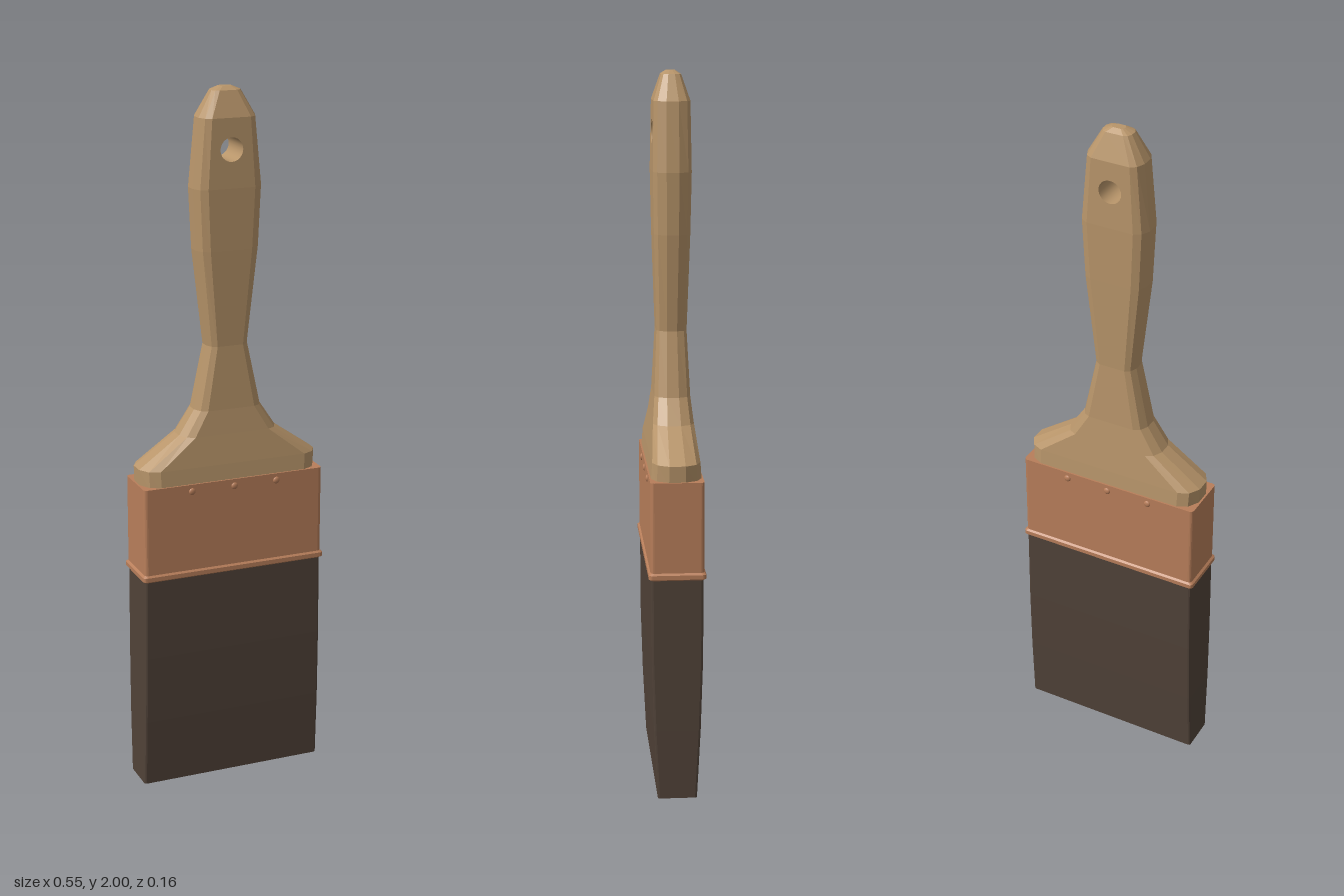
import * as THREE from 'three';

const material = (name, color) => Object.assign(new THREE.MeshStandardMaterial({ color }), { name });

// Skin closed rings of [x, y, z] points, listed bottom to top; skip(segment, side) leaves an opening
function loft(rings, skip = () => false) {
  const pos = [];
  const tri = (a, b, c) => pos.push(...a, ...b, ...c);
  const n = rings[0].length;
  for (let s = 0; s < rings.length - 1; s++) {
    for (let i = 0; i < n; i++) {
      if (skip(s, i)) continue;
      const j = (i + 1) % n, lo = rings[s], hi = rings[s + 1];
      tri(lo[i], hi[i], hi[j]);
      tri(lo[i], hi[j], lo[j]);
    }
  }
  const bottom = rings[0], top = rings[rings.length - 1];
  for (let i = 0; i < n; i++) {
    const j = (i + 1) % n;
    tri([0, bottom[0][1], 0], bottom[i], bottom[j]);
    tri([0, top[0][1], 0], top[j], top[i]);
  }
  const g = new THREE.BufferGeometry();
  g.setAttribute('position', new THREE.Float32BufferAttribute(pos, 3));
  g.computeVertexNormals();
  return g;
}

// Rounded rectangle cross-section
function roundedRing([y, w, d], r, steps = 4) {
  const ring = [];
  for (let q = 0; q < 4; q++) {
    const cx = (q === 0 || q === 3 ? 1 : -1) * (w - r), cz = (q < 2 ? 1 : -1) * (d - r);
    for (let k = 0; k <= steps; k++) {
      const a = (q + k / steps) * Math.PI / 2;
      ring.push([cx + r * Math.cos(a), y, cz + r * Math.sin(a)]);
    }
  }
  return ring;
}

// Twelve-sided handle cross-section: flat face half-width is w * f
function handleRing([y, w, d, f]) {
  const m = w * (0.62 + 0.38 * f);
  const quarter = [[w, 0.33 * d], [m, 0.8 * d], [w * f, d]];
  const back = [...quarter].reverse();
  return [
    ...quarter.map(([x, z]) => [x, y, z]),
    ...back.map(([x, z]) => [-x, y, z]),
    ...quarter.map(([x, z]) => [-x, y, -z]),
    ...back.map(([x, z]) => [x, y, -z]),
  ];
}

export function createModel() {
  const wood = material('wood', 0xb8956a);
  const copper = material('copper', 0xb87e5a);
  const bristle = material('bristle', 0x504238);
  const woodInside = material('hole wood', 0xb8956a);
  woodInside.side = THREE.BackSide;

  const model = new THREE.Group();
  model.name = 'paintbrush';
  const add = (name, geometry, mat, parent = model) => {
    const mesh = new THREE.Mesh(geometry, mat);
    mesh.name = name;
    parent.add(mesh);
    return mesh;
  };

  // Bristles, thinning toward the tip
  add('bristles', loft([
    [0, 0.273, 0.055], [0.2, 0.272, 0.065], [0.4, 0.27, 0.071], [0.645, 0.268, 0.072],
  ].map(p => roundedRing(p, 0.006, 2))), bristle);

  // Metal ferrule with a rolled lower lip
  add('ferrule', loft([
    [0.635, 0.271, 0.074], [0.639, 0.276, 0.079], [0.651, 0.276, 0.079],
    [0.656, 0.27, 0.074], [0.91, 0.27, 0.074],
  ].map(p => roundedRing(p, 0.01))), copper);

  // Small rivets on both faces
  const rivetGeo = new THREE.SphereGeometry(0.01, 12, 8);
  const rivets = new THREE.Group();
  rivets.name = 'rivets';
  model.add(rivets);
  for (const side of [-1, 1]) {
    for (const x of [-0.128, 0, 0.128]) {
      const rivet = add('rivet', rivetGeo, copper, rivets);
      rivet.position.set(x, 0.89, side * 0.074);
      rivet.scale.z = 0.5;
    }
  }

  // Handle profile: height, half-width, half-depth, flat-face fraction
  const profile = [
    [0.9, 0.264, 0.07, 0.82], [0.955, 0.266, 0.066, 0.82], [1.04, 0.145, 0.057, 0.76],
    [1.11, 0.099, 0.05, 0.7], [1.29, 0.061, 0.042, 0.62], [1.56, 0.092, 0.05, 0.66],
    [1.73, 0.1, 0.053, 0.68], [1.92, 0.082, 0.05, 0.68], [1.99, 0.042, 0.027, 0.6],
    [2, 0.018, 0.012, 0.6],
  ];
  const holeSegment = 6;
  const handle = new THREE.Group();
  handle.name = 'handle';
  model.add(handle);
  add('handleBody', loft(profile.map(handleRing),
    (s, i) => s === holeSegment && (i === 2 || i === 8)), wood, handle);

  // Pierced front and back panels around the hanging hole
  const [y0, w0, d0, f0] = profile[holeSegment], [y1, w1, d1, f1] = profile[holeSegment + 1];
  const depthAt = y => d0 + (d1 - d0) * (y - y0) / (y1 - y0);
  const holeY = 1.835, holeR = 0.033;
  const panel = new THREE.Shape([[-w0 * f0, y0], [w0 * f0, y0], [w1 * f1, y1], [-w1 * f1, y1]]
    .map(p => new THREE.Vector2(...p)));
  panel.holes.push(new THREE.Path().absarc(0, holeY, holeR, 0, Math.PI * 2, true));
  const panelGeo = new THREE.ShapeGeometry(panel, 12);
  const pp = panelGeo.attributes.position;
  for (let i = 0; i < pp.count; i++) pp.setZ(i, depthAt(pp.getY(i)));
  panelGeo.computeVertexNormals();
  add('holePanelFront', panelGeo, wood, handle);
  add('holePanelBack', panelGeo, wood, handle).rotation.y = Math.PI;

  // Hole wall, trimmed to the panel surfaces
  const wall = new THREE.CylinderGeometry(holeR, holeR, 2, 24, 1, true);
  wall.rotateX(Math.PI / 2).translate(0, holeY, 0);
  const wp = wall.attributes.position;
  for (let i = 0; i < wp.count; i++) wp.setZ(i, Math.sign(wp.getZ(i)) * depthAt(wp.getY(i)));
  add('hangingHole', wall, woodInside, handle);

  return model;
}
